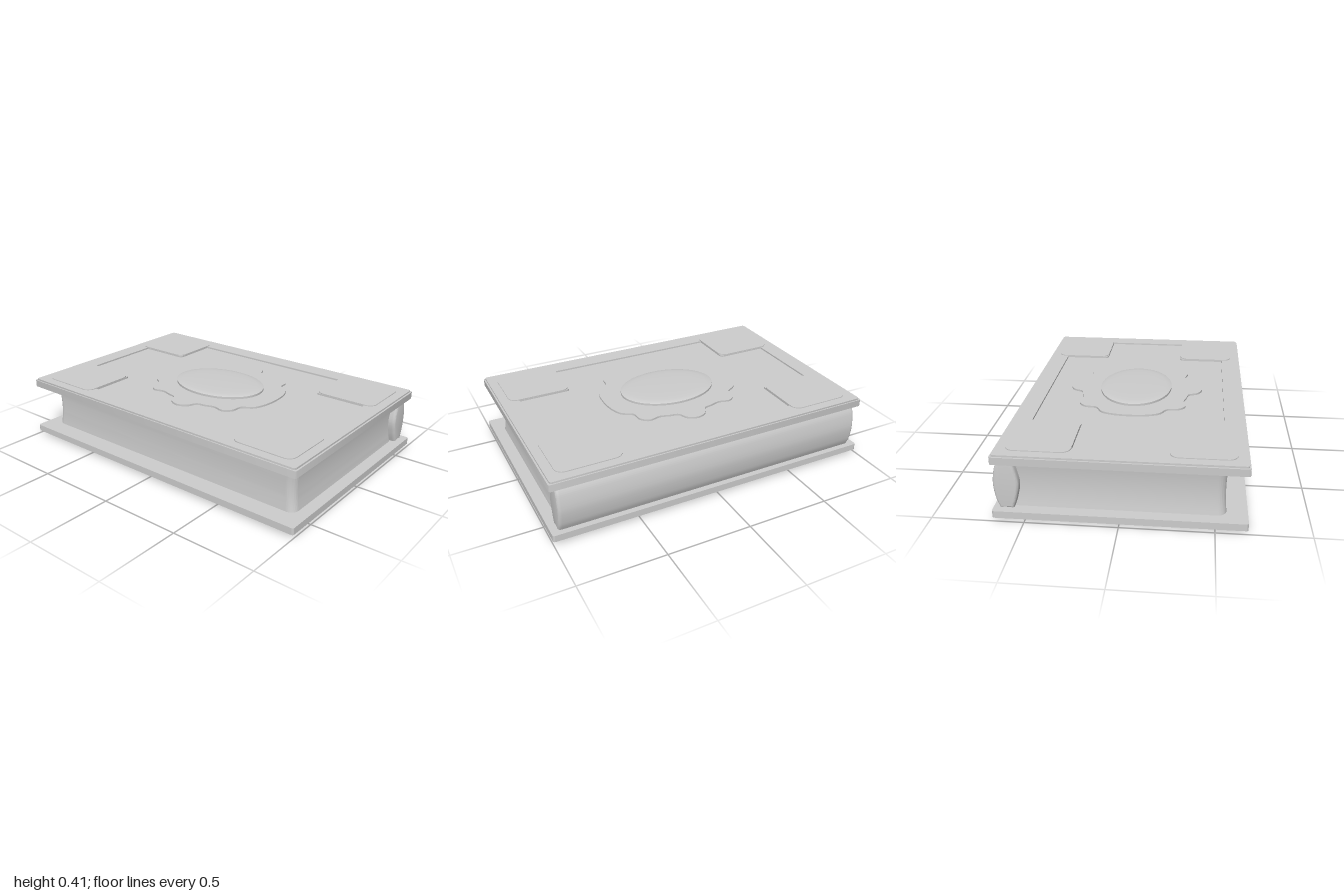
import * as THREE from 'three';
import { toCreasedNormals } from 'three/addons/utils/BufferGeometryUtils.js';

const stone = new THREE.MeshStandardMaterial({ color: 0xcccccc });
stone.name = 'plain grey';

// Rounded rectangle centred on (cx, cy)
function roundedRect(w, h, r, cx = 0, cy = 0) {
  const s = new THREE.Shape();
  const x = w / 2 - r, y = h / 2 - r;
  s.absarc(cx + x, cy + y, r, 0, Math.PI / 2);
  s.absarc(cx - x, cy + y, r, Math.PI / 2, Math.PI);
  s.absarc(cx - x, cy - y, r, Math.PI, Math.PI * 1.5);
  s.absarc(cx + x, cy - y, r, Math.PI * 1.5, Math.PI * 2);
  s.closePath();
  return s;
}

function ellipse(rx, ry) {
  const s = new THREE.Shape();
  s.absellipse(0, 0, rx, ry, 0, Math.PI * 2);
  return s;
}

// Flat slab between two heights, its outline lying in the xz plane
function slab(shape, y0, y1, steps = 1) {
  const g = new THREE.ExtrudeGeometry(shape, { depth: y1 - y0, steps, bevelEnabled: false, curveSegments: 24 });
  g.rotateX(-Math.PI / 2);
  g.translate(0, y0, 0);
  return g;
}

// Cross-shaped opening with small fillets in the inner corners
function crossPath() {
  const X = 0.875, Z = 0.54, x = 0.55, z = 0.255, r = 0.025;
  const p = new THREE.Path();
  p.moveTo(X, -z);
  p.lineTo(X, z);
  p.lineTo(x + r, z);
  p.quadraticCurveTo(x, z, x, z + r);
  p.lineTo(x, Z);
  p.lineTo(-x, Z);
  p.lineTo(-x, z + r);
  p.quadraticCurveTo(-x, z, -x - r, z);
  p.lineTo(-X, z);
  p.lineTo(-X, -z);
  p.lineTo(-x - r, -z);
  p.quadraticCurveTo(-x, -z, -x, -z - r);
  p.lineTo(-x, -Z);
  p.lineTo(x, -Z);
  p.lineTo(x, -z - r);
  p.quadraticCurveTo(x, -z, x + r, -z);
  p.closePath();
  return p;
}

// Lobed outline mirrored from one quarter
function rosetteShape() {
  const q = [[0.425, 0], [0.415, 0.1], [0.385, 0.17], [0.325, 0.21], [0.315, 0.275], [0.27, 0.315],
    [0.2, 0.302], [0.14, 0.318], [0.09, 0.33], [0.06, 0.385], [0, 0.41]];
  const inner = q.slice(1, -1);
  const flip = (list, sx, sy) => list.map(([x, y]) => [x * sx, y * sy]);
  const pts = [...q, ...flip(inner, -1, 1).reverse(), [-0.425, 0], ...flip(inner, -1, -1),
    [0, -0.41], ...flip(inner, 1, -1).reverse()];
  const curve = new THREE.CatmullRomCurve3(pts.map(([x, y]) => new THREE.Vector3(x, y, 0)), true);
  return new THREE.Shape(curve.getPoints(132).slice(0, -1).map(p => new THREE.Vector2(p.x, p.y)));
}

export function createModel() {
  const book = new THREE.Group();
  book.name = 'book';
  const add = (name, geometry, crease = 0.6) => {
    const m = new THREE.Mesh(toCreasedNormals(geometry, crease), stone);
    m.name = name;
    book.add(m);
    return m;
  };

  // Cover boards and their recessed frames
  add('bottomCover', slab(roundedRect(2, 1.34, 0.012), 0.02, 0.06));
  add('topCover', slab(roundedRect(1.99, 1.325, 0.012), 0.333, 0.375));
  const frame = roundedRect(1.97, 1.31, 0.015);
  frame.holes.push(crossPath());
  add('bottomFrame', slab(frame, 0.01, 0.02));
  add('topFrame', slab(frame, 0.375, 0.385));

  // Page block, slightly hollowed at mid height
  const pages = slab(roundedRect(1.86, 1.14, 0.05), 0.06, 0.333, 14);
  const p = pages.attributes.position;
  for (let i = 0; i < p.count; i++) {
    const t = (p.getY(i) - 0.1965) / 0.1365;
    const k = 1 - 0.013 * (1 - t * t);
    p.setXYZ(i, p.getX(i) * k, p.getY(i), p.getZ(i) * k - 0.012);
  }
  add('pages', pages);

  // Bulging spine, extruded along x
  const back = [[0.635, 0.058], [0.655, 0.11], [0.666, 0.197], [0.655, 0.283], [0.635, 0.335]];
  const front = [[0.56, 0.335], [0.54, 0.275], [0.527, 0.197], [0.54, 0.12], [0.56, 0.058]];
  const profile = new THREE.Shape();
  profile.moveTo(...back[0]);
  profile.splineThru(back.slice(1).map(v => new THREE.Vector2(...v)));
  profile.lineTo(...front[0]);
  profile.splineThru(front.slice(1).map(v => new THREE.Vector2(...v)));
  profile.closePath();
  const spine = new THREE.ExtrudeGeometry(profile, {
    depth: 1.88, curveSegments: 16, bevelThickness: 0.02, bevelSize: 0.015, bevelOffset: -0.015, bevelSegments: 4 });
  spine.translate(0, 0, -0.94);
  spine.rotateY(Math.PI / 2);
  spine.scale(1, 1, 1);
  // The profile's first axis now points to -z, the back of the book
  add('spine', spine);

  // Corner plates
  for (const sx of [-1, 1]) for (const sz of [-1, 1]) {
    add('cornerPlate', slab(roundedRect(0.38, 0.345, 0.05, sx * 0.74, sz * 0.428), 0.384, 0.39));
  }

  // Central rosette with a shallow oval dome
  add('rosette', slab(rosetteShape(), 0.375, 0.386));
  const domeProfile = [[1, 0.385], [1, 0.399], [0.97, 0.402], [0.85, 0.4055], [0.65, 0.408], [0.35, 0.4095], [0, 0.41]];
  const dome = new THREE.LatheGeometry(domeProfile.map(v => new THREE.Vector2(...v)), 64);
  dome.scale(0.3, 1, 0.22);
  add('ovalDome', dome, 0.9);

  // Oval plate beneath
  add('bottomOval', slab(ellipse(0.47, 0.36), 0, 0.02));
  return book;
}
